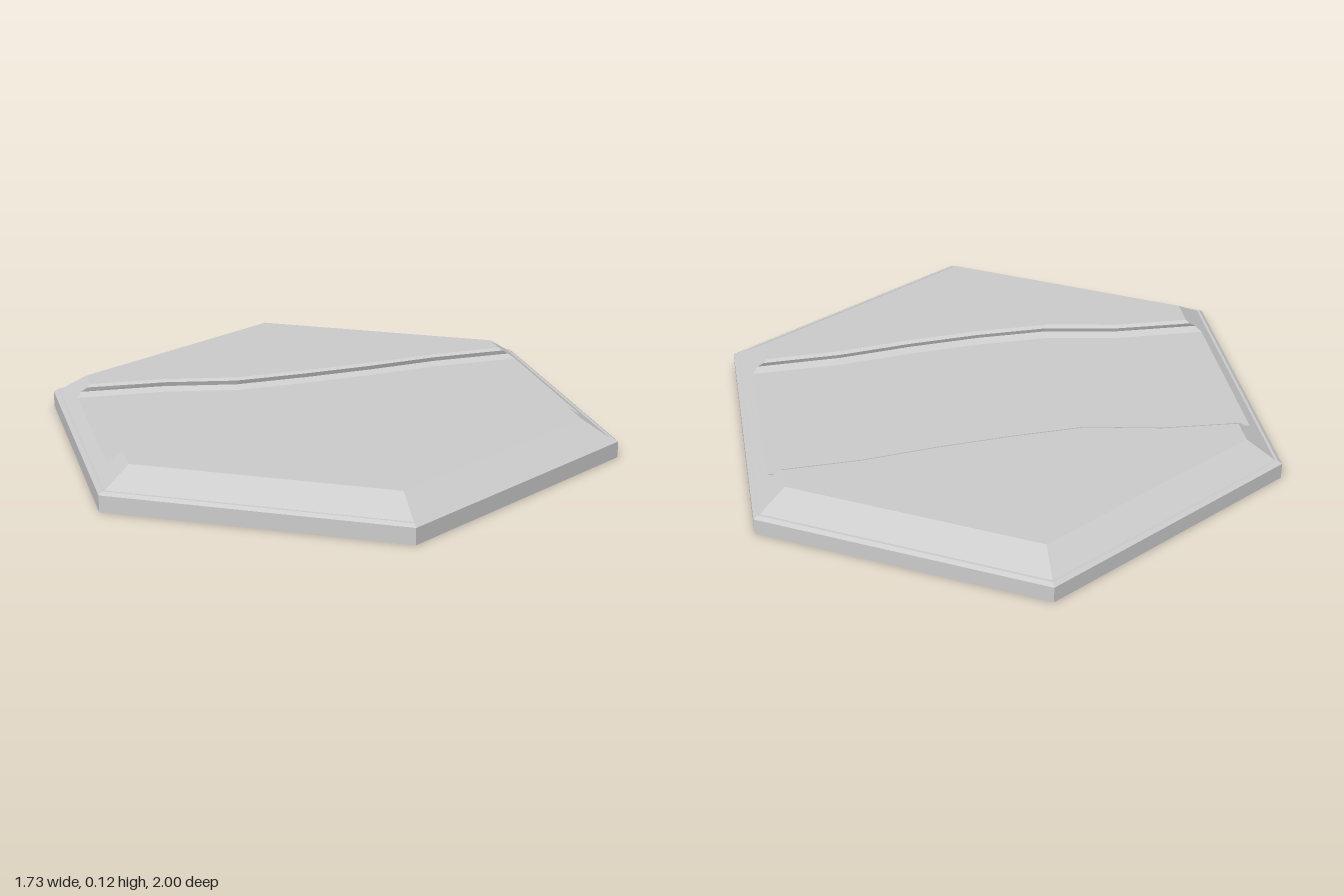
import * as THREE from 'three';

const material = new THREE.MeshStandardMaterial({ color: 0xcccccc, flatShading: true });
const LEDGE = { r: 0.975, y: 0.065 }, TOP = { r: 0.875, y: 0.125 }, FLOOR = 0.09;
const COS30 = Math.sqrt(3) / 2;

// Channel edges between the two ends: x positions and their z on each bank
const EDGE_X = [-0.5, -0.25, 0, 0.25, 0.5];
const BANKS = [
  { name: 'frontBank', sign: 1, end: 0.323, z: [0.335, 0.38, 0.378, 0.36, 0.33] },
  { name: 'backBank', sign: -1, end: -0.333, z: [-0.315, -0.265, -0.275, -0.295, -0.325] },
];
// Bank wall profile, top to bottom: [offset away from the channel, height]
const PROFILE = [[0.012, TOP.y], [-0.002, 0.118], [0.004, 0.102], [-0.022, FLOOR]];

// Half width of the sloped rim at a given height
const rimX = (y) => COS30 * THREE.MathUtils.mapLinear(y, LEDGE.y, TOP.y, LEDGE.r, TOP.r);

// Hexagon corner k, with corner 0 pointing to the front
const corner = (k, r, y) => {
  const a = (k * Math.PI) / 3;
  return [r * Math.sin(a), y, r * Math.cos(a)];
};

// One bank line at a profile step, from -x to +x
function bankLine(bank, [offset, y]) {
  const o = offset * bank.sign, x = rimX(y);
  return [
    [-x, y, bank.end + o],
    ...EDGE_X.map((ex, i) => [ex, y, bank.z[i] + o]),
    [x, y, bank.end + o],
  ];
}

// Mesh from quads whose corners run counter-clockwise seen from outside
function quadMesh(name, quads) {
  const pos = quads.flatMap(([a, b, c, d]) => [a, b, c, a, c, d].flat());
  const geo = new THREE.BufferGeometry();
  geo.setAttribute('position', new THREE.Float32BufferAttribute(pos, 3));
  geo.computeVertexNormals();
  const mesh = new THREE.Mesh(geo, material);
  mesh.name = name;
  return mesh;
}

const outline = (points) =>
  new THREE.ShapeGeometry(new THREE.Shape(points.map(([x, y]) => new THREE.Vector2(x, y))));

// Level face looking up, from points in space
function levelMesh(name, points, y) {
  const geo = outline(points.map((p) => [p[0], -p[2]]));
  geo.rotateX(-Math.PI / 2).translate(0, y, 0);
  const mesh = new THREE.Mesh(geo, material);
  mesh.name = name;
  return mesh;
}

// Sloped rim at one end of the channel, notched by the channel section
function notchedRim(name, side) {
  const [front, back] = BANKS;
  const section = (b) => PROFILE.map(([o, y]) => [b.end + o * b.sign, y]);
  const pts = [
    [-LEDGE.r / 2, LEDGE.y], [LEDGE.r / 2, LEDGE.y], [TOP.r / 2, TOP.y],
    ...section(front), ...section(back).reverse(), [-TOP.r / 2, TOP.y],
  ];
  const geo = outline(pts.map(([z, y]) => [-side * z, y]));
  const p = geo.attributes.position;
  for (let i = 0; i < p.count; i++) p.setZ(i, rimX(p.getY(i)));
  geo.rotateY((side * Math.PI) / 2);
  geo.computeVertexNormals();
  const mesh = new THREE.Mesh(geo, material);
  mesh.name = name;
  return mesh;
}

export function createModel() {
  const group = new THREE.Group();
  group.name = 'hexTile';

  // Base slab with a small chamfer and ledge
  const rings = [[1, 0], [1, 0.056], [0.985, LEDGE.y], [LEDGE.r, LEDGE.y]];
  const ringQuad = (k, [r0, y0], [r1, y1]) => [
    corner(k, r0, y0), corner(k + 1, r0, y0), corner(k + 1, r1, y1), corner(k, r1, y1),
  ];
  const baseQuads = [];
  for (let i = 0; i < rings.length - 1; i++)
    for (let k = 0; k < 6; k++) baseQuads.push(ringQuad(k, rings[i], rings[i + 1]));
  group.add(quadMesh('base', baseQuads));

  // Underside
  const under = new THREE.Mesh(new THREE.CircleGeometry(1, 6, Math.PI / 2), material);
  under.rotation.x = Math.PI / 2;
  under.name = 'underside';
  group.add(under);

  // Sloped rims on the four plain sides, then the two notched ends
  const slopes = [0, 2, 3, 5].map((k) => ringQuad(k, [LEDGE.r, LEDGE.y], [TOP.r, TOP.y]));
  group.add(quadMesh('slopedRim', slopes));
  group.add(notchedRim('leftChannelEnd', 1), notchedRim('rightChannelEnd', -1));

  // Banks: flat top and creased wall down to the channel
  for (const bank of BANKS) {
    const tips = bank.sign > 0 ? [1, 0, 5] : [2, 3, 4];
    const lines = PROFILE.map((step) => bankLine(bank, step));
    group.add(levelMesh(bank.name + 'Top', [...lines[0], ...tips.map((k) => corner(k, TOP.r, TOP.y))], TOP.y));

    const quads = [];
    for (let j = 0; j < lines.length - 1; j++)
      for (let i = 0; i < lines[j].length - 1; i++) {
        const q = [lines[j][i], lines[j][i + 1], lines[j + 1][i + 1], lines[j + 1][i]];
        quads.push(bank.sign > 0 ? q : q.reverse());
      }
    group.add(quadMesh(bank.name + 'Wall', quads));
  }

  // Channel floor
  const [f, b] = BANKS.map((bank) => bankLine(bank, PROFILE[PROFILE.length - 1]));
  group.add(levelMesh('channelFloor', [...f, ...b.reverse()], FLOOR));
  return group;
}
